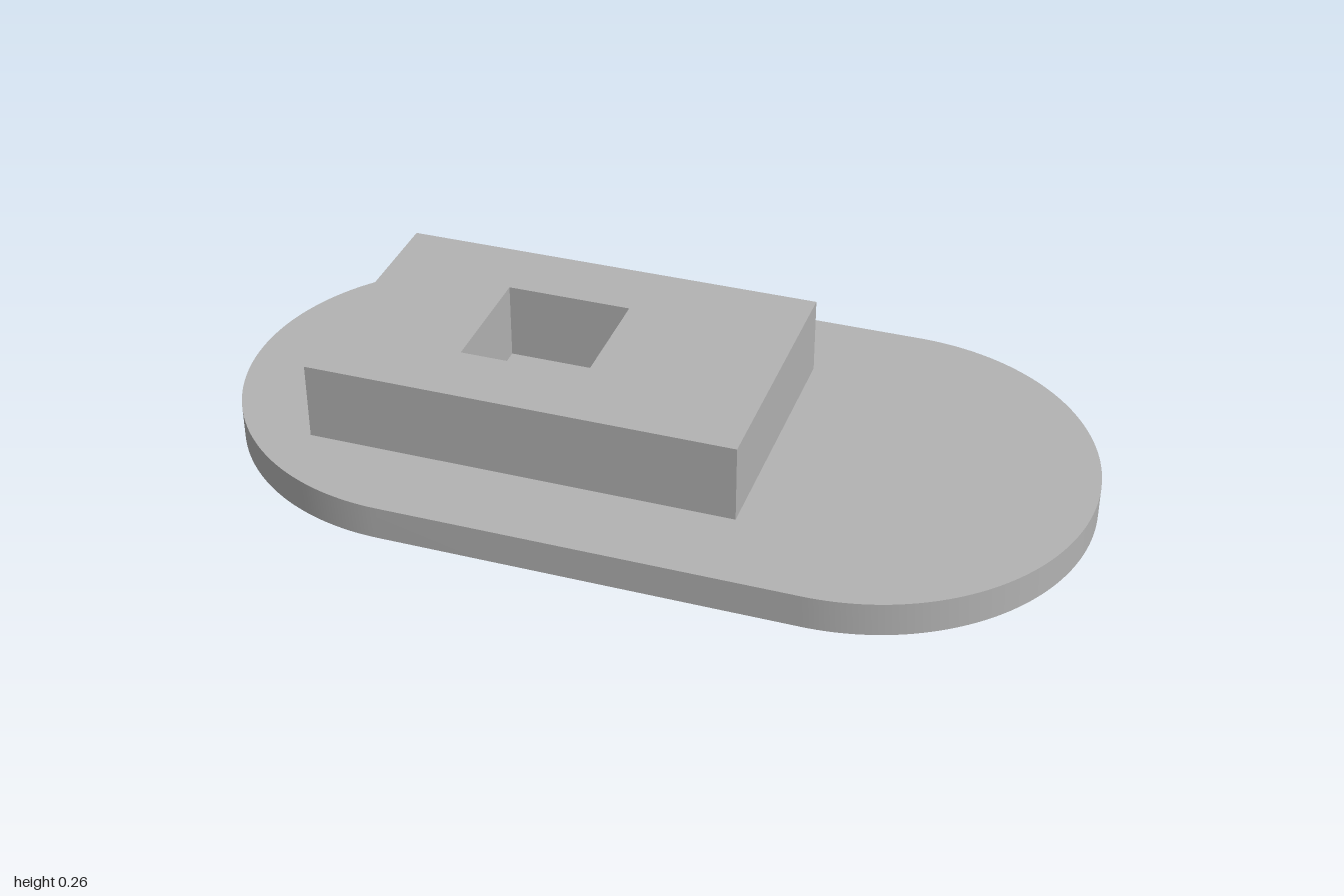
import * as THREE from 'three';
import { toCreasedNormals } from 'three/addons/utils/BufferGeometryUtils.js';

const PLATE_TOP = 0.08, BLOCK_TOP = 0.264;
const END_RADIUS = 0.522, END_X = 1 - END_RADIUS;
const HOLE_X = -0.277;

// Rectangle outline as a list of points
function rectangle(x0, x1, halfDepth) {
  return [[x0, -halfDepth], [x1, -halfDepth], [x1, halfDepth], [x0, halfDepth]]
    .map(([x, y]) => new THREE.Vector2(x, y));
}

// Extrude a ground-plan shape upwards from y0 to y1
function extrudeUp(name, shape, y0, y1, material) {
  const raw = new THREE.ExtrudeGeometry(shape, { depth: y1 - y0, bevelEnabled: false, curveSegments: 48 });
  raw.rotateX(-Math.PI / 2).translate(0, y0, 0);
  const mesh = new THREE.Mesh(toCreasedNormals(raw, Math.PI / 6), material);
  mesh.name = name;
  return mesh;
}

export function createModel() {
  const grey = new THREE.MeshStandardMaterial({ color: 0xb2b2b2 });
  grey.name = 'grey';

  // Base plate with round ends and a round through hole
  const plate = new THREE.Shape();
  plate.absarc(END_X, 0, END_RADIUS, -Math.PI / 2, Math.PI / 2, false);
  plate.absarc(-END_X, 0, END_RADIUS, Math.PI / 2, Math.PI * 1.5, false);
  plate.closePath();
  const bore = new THREE.Path();
  bore.absarc(HOLE_X, 0, 0.09, 0, Math.PI * 2, true);
  plate.holes.push(bore);

  // Raised block with a square socket down to the plate
  const block = new THREE.Shape(rectangle(-0.732, 0.272, 0.313));
  block.holes.push(new THREE.Path(rectangle(HOLE_X - 0.148, HOLE_X + 0.148, 0.148).reverse()));

  const model = new THREE.Group();
  model.name = 'slottedMount';
  model.add(
    extrudeUp('basePlate', plate, 0, PLATE_TOP, grey),
    extrudeUp('raisedBlock', block, PLATE_TOP, BLOCK_TOP, grey),
  );
  return model;
}
